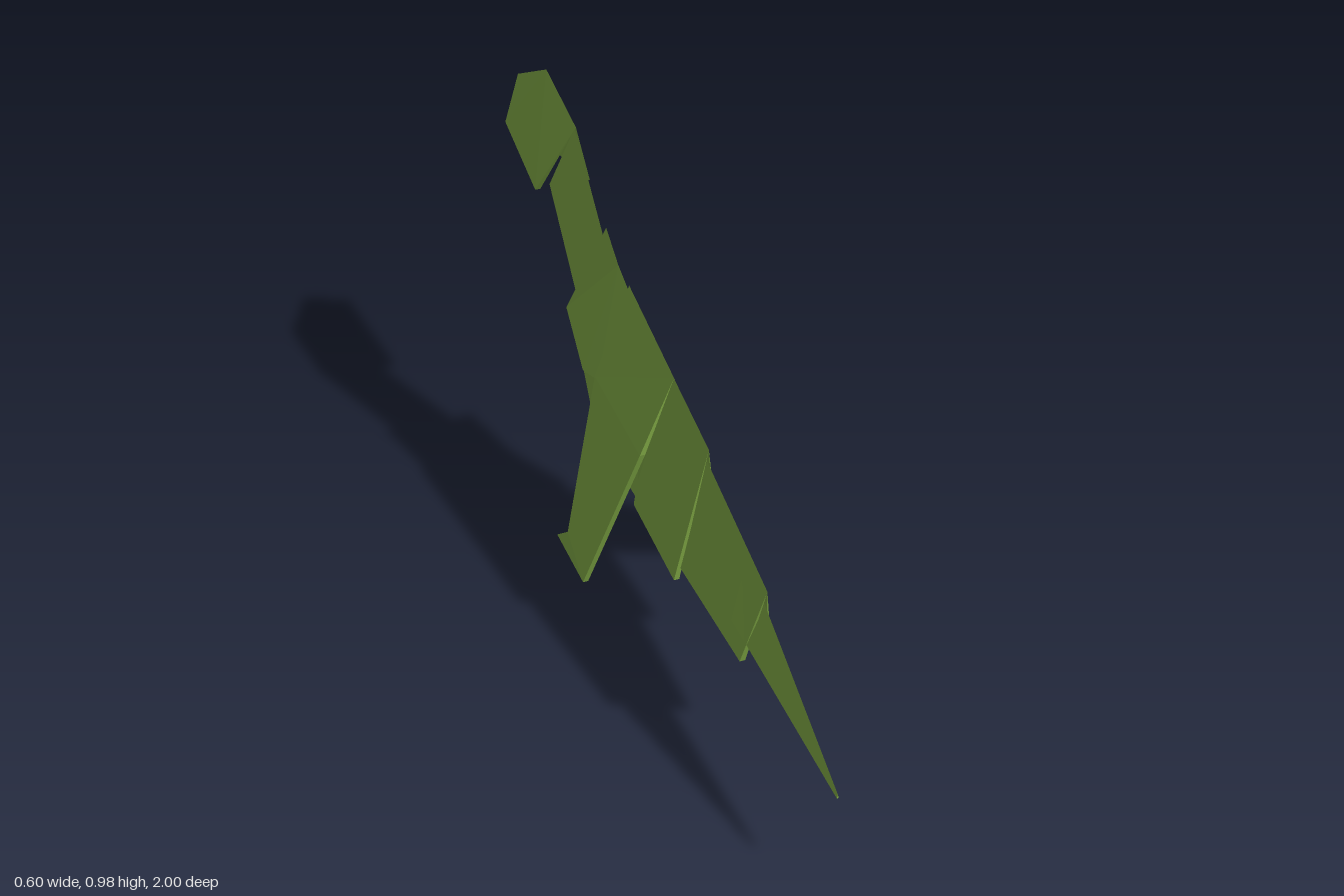
import * as THREE from 'three';

const paper = new THREE.MeshStandardMaterial({ color: 0x8cb84c, flatShading: true, side: THREE.DoubleSide });
const THICK = 0.013;

// Body coordinates (along, height, sideways) to world: the spine runs diagonally
const toWorld = (a, y, s) => [-0.285 * a - 0.0157 + 0.962 * s, y, a + 0.274 * s];

// One paper flap: an outline of [along, height, sideways] points, given some thickness.
// Points with sideways = 0 lie on the ridge, where the two flaps meet.
function flap(outline, side) {
  const n = outline.length;
  const area = outline.reduce((sum, p, i) => {
    const q = outline[(i + 1) % n];
    return sum + q[0] * p[1] - p[0] * q[1];
  }, 0);
  const positions = [];
  const outer = outline.map(([a, y, s]) => toWorld(a, y, side * s));
  const inner = outline.map(([a, y, s]) => toWorld(a, y, side * Math.max(s - THICK, 0)));
  const flip = (area > 0) !== (side > 0);
  const tri = (a, b, c) => positions.push(...a, ...(flip ? c : b), ...(flip ? b : c));
  for (let i = 1; i < n - 1; i++) {
    tri(outer[0], outer[i], outer[i + 1]);
    tri(inner[0], inner[i + 1], inner[i]);
  }
  // Cut edges of the paper
  for (let i = 0; i < n; i++) {
    const j = (i + 1) % n;
    if (outline[i][2] === 0 && outline[j][2] === 0) continue;
    if (outline[i][2] > 0) tri(outer[i], inner[i], inner[j]);
    if (outline[j][2] > 0) tri(outer[i], inner[j], outer[j]);
  }
  const geometry = new THREE.BufferGeometry();
  geometry.setAttribute('position', new THREE.Float32BufferAttribute(positions, 3));
  geometry.computeVertexNormals();
  return geometry;
}

// A folded section: the same flap on both sides of the spine
function fold(name, outline) {
  const group = new THREE.Group();
  group.name = name;
  for (const side of [1, -1]) {
    const mesh = new THREE.Mesh(flap(outline, side), paper);
    mesh.name = name + (side > 0 ? 'Left' : 'Right');
    group.add(mesh);
  }
  return group;
}

export function createModel() {
  const model = new THREE.Group();
  model.name = 'foldedPaperDinosaur';

  const sections = {
    // Tail, from the tip forward
    tailTip: [[1.0, 0.22, 0], [0.52, 0.455, 0], [0.52, 0.295, 0.032], [1.0, 0.21, 0.002]],
    tailBase: [[0.63, 0.45, 0], [0.24, 0.565, 0], [0.22, 0.235, 0.045], [0.58, 0.23, 0.037]],
    // Body
    hip: [[0.305, 0.585, 0], [0.0, 0.66, 0], [0.0, 0.23, 0.06], [0.25, 0.2, 0.058]],
    belly: [[0.085, 0.63, 0], [-0.25, 0.7, 0], [-0.355, 0.4, 0.058],
      [-0.285, 0.24, 0.05], [0.0, 0.24, 0.05], [0.01, 0.43, 0.05]],
    thigh: [[0.1, 0.637, 0], [-0.18, 0.708, 0], [-0.205, 0.46, 0.078], [0.08, 0.43, 0.074]],
    leg: [[-0.04, 0, 0.175], [0.08, 0.43, 0.074], [-0.205, 0.46, 0.078],
      [-0.16, 0.06, 0.17], [-0.23, 0, 0.174]],
    // Chest, neck and head
    chest: [[-0.25, 0.72, 0], [-0.33, 0.775, 0], [-0.51, 0.455, 0.042],
      [-0.32, 0.4, 0.068], [-0.2, 0.45, 0.072], [-0.17, 0.685, 0]],
    neck: [[-0.28, 0.67, 0], [-0.54, 0.925, 0], [-0.65, 0.72, 0.03], [-0.46, 0.51, 0.03]],
    head: [[-0.74, 0.98, 0], [-0.97, 0.855, 0], [-0.99, 0.715, 0.032],
      [-0.64, 0.718, 0.07], [-0.53, 0.932, 0]],
  };
  for (const [name, outline] of Object.entries(sections)) model.add(fold(name, outline));
  return model;
}
